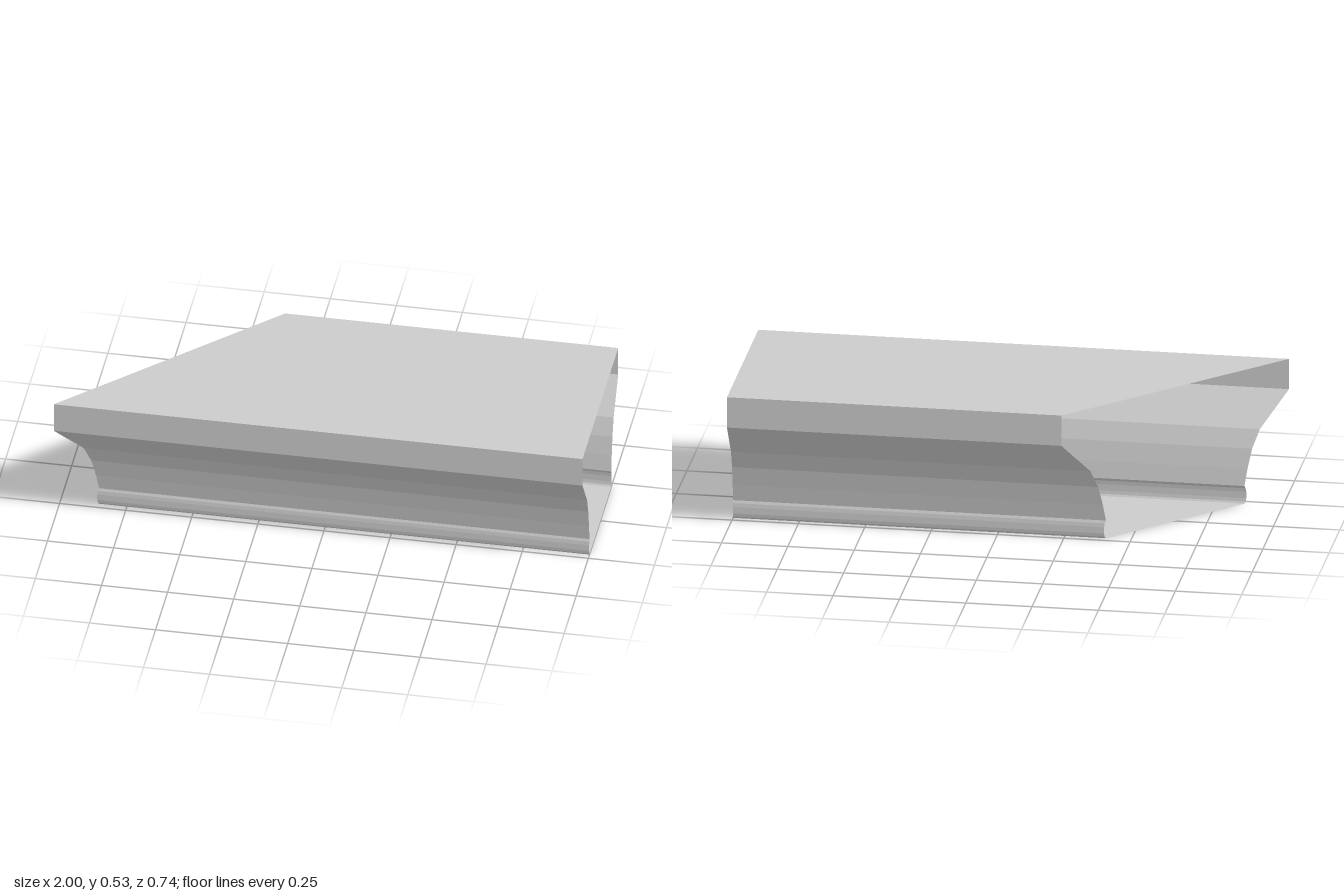
import * as THREE from 'three';

// Half profile as [half depth, height], from the top edge down to the base
const PROFILE = [
  [0.37, 0.53], [0.37, 0.41],                               // top band
  [0.275, 0.28], [0.25, 0.21], [0.235, 0.135], [0.225, 0.07], // cove
  [0.229, 0.06], [0.231, 0.045], [0.231, 0.02], [0.229, 0.007], [0.225, 0], // bead
];
const RIGHT_END = 1;
const mitre = (z) => -0.63 - z; // 45 degree cut at the other end

export function createModel() {
  const group = new THREE.Group();
  group.name = 'mitredMoulding';
  const material = new THREE.MeshStandardMaterial({
    color: 0xcccccc, flatShading: true, side: THREE.DoubleSide,
  });

  // Sweep a run of [z, y] points along x, from the mitre to the square end
  const addStrip = (name, points) => {
    const positions = [];
    for (let i = 0; i < points.length - 1; i++) {
      const [z0, y0] = points[i];
      const [z1, y1] = points[i + 1];
      const a = [mitre(z0), y0, z0], b = [mitre(z1), y1, z1];
      const c = [RIGHT_END, y1, z1], d = [RIGHT_END, y0, z0];
      positions.push(...a, ...b, ...c, ...a, ...c, ...d);
    }
    const geometry = new THREE.BufferGeometry();
    geometry.setAttribute('position', new THREE.Float32BufferAttribute(positions, 3));
    geometry.computeVertexNormals();
    const mesh = new THREE.Mesh(geometry, material);
    mesh.name = name;
    group.add(mesh);
  };

  const back = PROFILE.map(([z, y]) => [-z, y]).reverse();
  const topEdge = PROFILE[0];
  const baseEdge = PROFILE[PROFILE.length - 1];

  // Four walls of a tube that is open at both ends
  addStrip('frontMoulding', PROFILE);
  addStrip('bottomPanel', [baseEdge, back[0]]);
  addStrip('backMoulding', back);
  addStrip('topPanel', [back[back.length - 1], topEdge]);

  return group;
}
